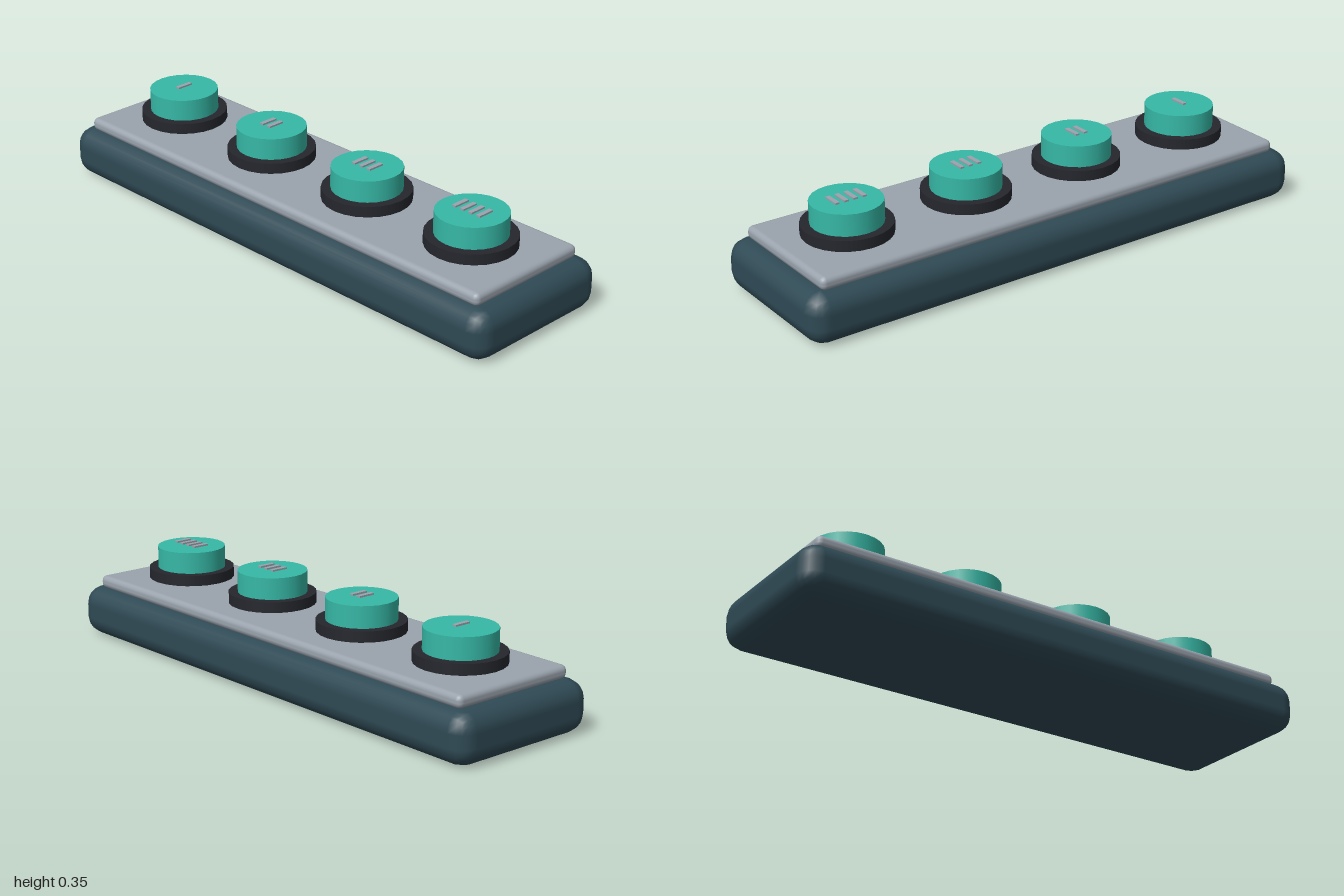
import * as THREE from 'three';
import { RoundedBoxGeometry } from 'three/addons/geometries/RoundedBoxGeometry.js';

const paint = (color) => new THREE.MeshStandardMaterial({ color });
const bodyPaint = paint(0x2f4a55);
const platePaint = paint(0x9aa3ad);
const collarPaint = paint(0x25272d);
const buttonPaint = paint(0x36b8a6);

function addPart(parent, name, geometry, material, y, x = 0) {
  const mesh = new THREE.Mesh(geometry, material);
  mesh.name = name;
  mesh.position.set(x, y, 0);
  parent.add(mesh);
  return mesh;
}

// Upright disc between two heights
function addDisc(parent, name, radius, bottom, top, material) {
  const geometry = new THREE.CylinderGeometry(radius, radius, top - bottom, 24);
  addPart(parent, name, geometry, material, (bottom + top) / 2);
}

// Push button with a collar and a row of raised marker bars
function createButton(count) {
  const button = new THREE.Group();
  button.name = 'button' + count;
  addDisc(button, 'collar', 0.155, 0.227, 0.265, collarPaint);
  addDisc(button, 'buttonCap', 0.123, 0.25, 0.342, buttonPaint);
  const bar = new THREE.BoxGeometry(0.016, 0.006, 0.063);
  for (let i = 0; i < count; i++) {
    addPart(button, 'markerBar', bar, platePaint, 0.35, (i - (count - 1) / 2) * 0.034);
  }
  return button;
}

export function createModel() {
  const model = new THREE.Group();
  model.name = 'buttonPanel';

  // Base and top plate with softened edges
  addPart(model, 'base', new RoundedBoxGeometry(2, 0.18, 0.582, 2, 0.066), bodyPaint, 0.09);
  addPart(model, 'topPlate', new RoundedBoxGeometry(1.876, 0.047, 0.486, 2, 0.02), platePaint, 0.1985);

  // Four buttons, marked one to four from the model's right
  for (let i = 0; i < 4; i++) {
    const button = createButton(i + 1);
    button.position.x = (i - 1.5) * 0.465;
    model.add(button);
  }
  return model;
}
